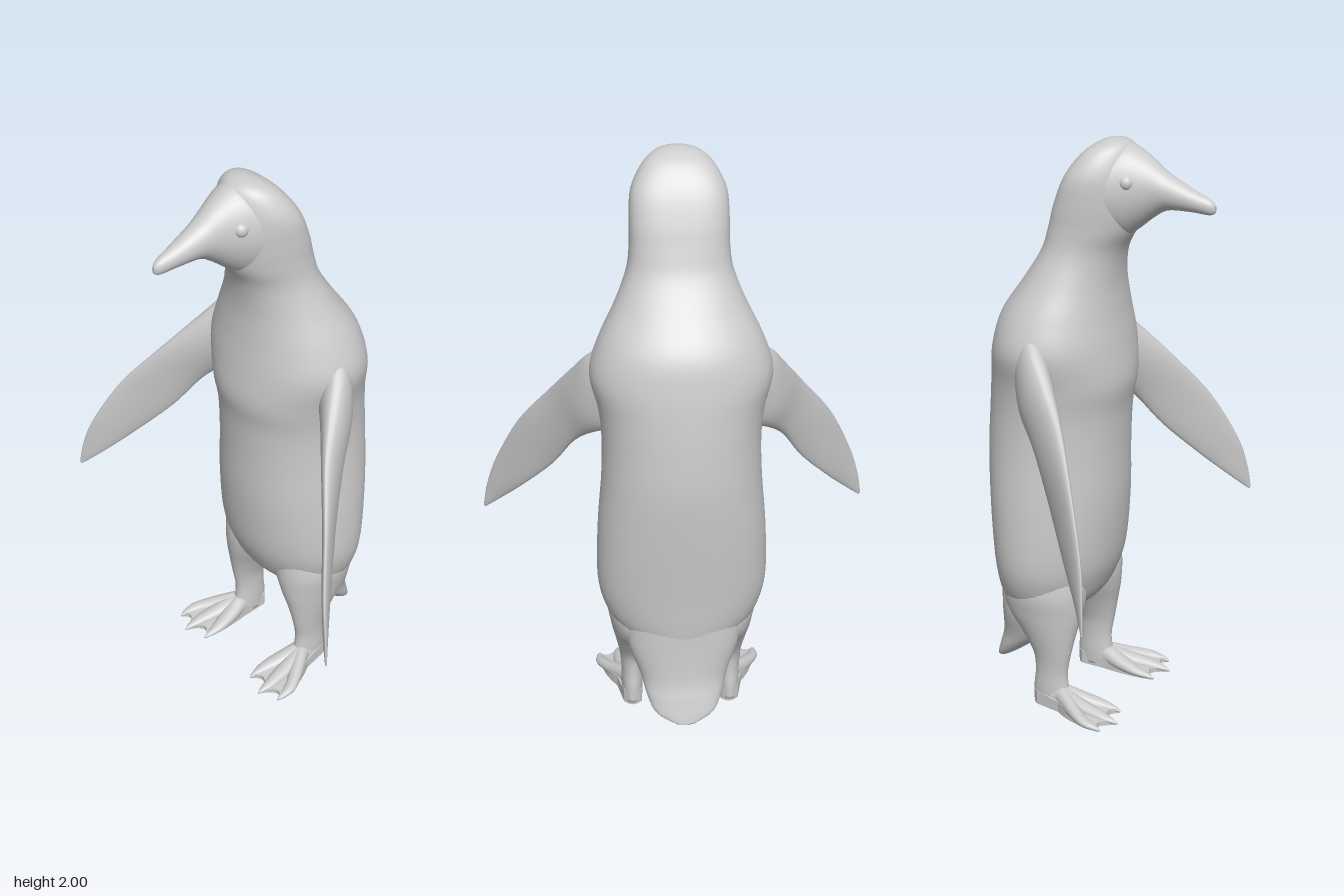
import * as THREE from 'three';

const V = (x, y, z) => new THREE.Vector3(x, y, z);
const material = new THREE.MeshStandardMaterial({ color: 0xcccccc });

// Smoothly interpolates rows of numbers along their order.
function smoothRows(rows, steps) {
  const out = [];
  const n = rows.length - 1;
  for (let i = 0; i < n; i++) {
    for (let s = 0; s < steps; s++) {
      const t = s / steps;
      out.push(rows[i].map((b, k) => {
        const c = rows[i + 1][k];
        const a = i > 0 ? rows[i - 1][k] : b;
        const d = i < n - 1 ? rows[i + 2][k] : c;
        return b + 0.5 * t * (c - a + t * (2 * a - 5 * b + 4 * c - d + t * (3 * (b - c) + d - a)));
      }));
    }
  }
  out.push(rows[n]);
  return out;
}

// Skins rounded sections; each section has a centre c and half-axes u and v.
// A section's bias moves its widest point back along v.
function loft(name, sections, { segments = 40, power = 2 } = {}) {
  const pos = [];
  let index = [];
  const bend = (a) => Math.sign(a) * Math.pow(Math.abs(a), 2 / power);
  for (const { c, u, v, bias = 0 } of sections) {
    for (let j = 0; j < segments; j++) {
      const a = (j / segments) * Math.PI * 2;
      const across = bend(Math.cos(a));
      const p = c.clone().addScaledVector(u, across)
        .addScaledVector(v, bend(Math.sin(a)) - bias * across * across);
      pos.push(p.x, p.y, p.z);
    }
  }
  const last = (sections.length - 1) * segments;
  const first = pos.length / 3;
  for (const s of [sections[0], sections[sections.length - 1]]) pos.push(s.c.x, s.c.y, s.c.z);
  for (let j = 0; j < segments; j++) {
    const k = (j + 1) % segments;
    for (let r = 0; r < last; r += segments) {
      index.push(r + j, r + k, r + segments + j, r + k, r + segments + k, r + segments + j);
    }
    index.push(first, k, j, first + 1, last + j, last + k);
  }
  // Turn the faces outward, whichever way the sections run.
  let volume = 0;
  const at = (i) => V(pos[3 * i], pos[3 * i + 1], pos[3 * i + 2]).sub(sections[0].c);
  for (let i = 0; i < index.length; i += 3) {
    volume += at(index[i]).dot(at(index[i + 1]).cross(at(index[i + 2])));
  }
  if (volume < 0) index = index.reverse();
  const geometry = new THREE.BufferGeometry();
  geometry.setAttribute('position', new THREE.Float32BufferAttribute(pos, 3));
  geometry.setIndex(index);
  geometry.computeVertexNormals();
  const mesh = new THREE.Mesh(geometry, material);
  mesh.name = name;
  return mesh;
}

// Rows of [y, front z, back z, half width, centre x, bias].
const upright = (rows, side = 1) => smoothRows(rows, 5).map(([y, f, b, w, x, bias]) => ({
  c: V(side * x, y, (f + b) / 2), u: V(w, 0, 0), v: V(0, 0, (f - b) / 2), bias,
}));

// Rows of [z, top y, bottom y, half width].
const forward = (rows) => smoothRows(rows, 6).map(([z, t, b, w]) => ({
  c: V(0, (t + b) / 2, z), u: V(w, 0, 0), v: V(0, (t - b) / 2, 0),
}));

function flipper(side) {
  // Rows of leading edge xyz, trailing edge xyz, half thickness.
  const rows = [
    [0.19, 1.43, -0.17, 0.14, 1.13, -0.19, 0.06],
    [0.285, 1.36, -0.1, 0.2, 1.1, -0.165, 0.062],
    [0.345, 1.275, -0.03, 0.27, 1.085, -0.135, 0.052],
    [0.43, 1.15, 0.065, 0.35, 1.015, -0.06, 0.032],
    [0.545, 0.985, 0.165, 0.43, 0.88, 0.03, 0.02],
    [0.632, 0.8, 0.242, 0.535, 0.745, 0.135, 0.014],
    [0.672, 0.68, 0.268, 0.62, 0.645, 0.22, 0.009],
    [0.69, 0.585, 0.278, 0.682, 0.58, 0.272, 0.003],
  ];
  const thin = V(0.75 * side, 0.1, -0.65).normalize();
  return loft('flipper', smoothRows(rows, 6).map(([ax, ay, az, bx, by, bz, h]) => {
    const a = V(ax * side, ay, az);
    const b = V(bx * side, by, bz);
    return {
      c: a.clone().add(b).multiplyScalar(0.5),
      u: a.clone().sub(b).multiplyScalar(0.5),
      v: thin.clone().multiplyScalar(h),
    };
  }), { segments: 28 });
}

function foot(side) {
  const group = new THREE.Group();
  group.name = 'foot';
  // Three pointed toes running out from the ankle
  for (const [x, z] of [[0.135, 0.14], [0.215, 0.168], [0.284, 0.135]]) {
    const rows = [
      [0.173, -0.15, 0.035, 0.028], [0.176, -0.08, 0.08, 0.036],
      [0.176 + (x - 0.176) * 0.5, 0.0, 0.056, 0.034],
      [0.176 + (x - 0.176) * 0.9, z - 0.07, 0.034, 0.024],
      [x, z - 0.02, 0.018, 0.011], [x, z, 0.008, 0.002],
    ];
    group.add(loft('toe', smoothRows(rows, 4).map(([cx, cz, top, w]) => ({
      c: V(side * cx, top / 2 + 0.003, cz), u: V(w, 0, 0), v: V(0, top / 2, 0),
    })), { segments: 16 }));
  }
  // Webbed sole, thicker towards the heel
  const sole = new THREE.Shape();
  sole.moveTo(0.14, -0.155);
  sole.quadraticCurveTo(0.172, -0.20, 0.205, -0.155);
  sole.lineTo(0.225, -0.06);
  sole.quadraticCurveTo(0.282, 0.02, 0.285, 0.13);
  sole.quadraticCurveTo(0.255, 0.08, 0.215, 0.16);
  sole.quadraticCurveTo(0.18, 0.07, 0.135, 0.135);
  sole.quadraticCurveTo(0.12, 0.05, 0.135, -0.05);
  const geometry = new THREE.ExtrudeGeometry(sole, { depth: 1, bevelEnabled: false, curveSegments: 8 });
  const p = geometry.attributes.position;
  for (let i = 0; i < p.count; i++) {
    const z = p.getY(i);
    p.setXYZ(i, p.getX(i) * side, p.getZ(i) * (0.032 - 0.12 * z), z);
  }
  // Swapping axes mirrors the shape, so the left foot needs its corners reversed.
  if (side > 0) {
    for (let i = 0; i < p.count; i += 3) {
      const a = V().fromBufferAttribute(p, i);
      const b = V().fromBufferAttribute(p, i + 1);
      p.setXYZ(i, b.x, b.y, b.z);
      p.setXYZ(i + 1, a.x, a.y, a.z);
    }
  }
  geometry.computeVertexNormals();
  const web = new THREE.Mesh(geometry, material);
  web.name = 'web';
  group.add(web);
  return group;
}

export function createModel() {
  const model = new THREE.Group();
  model.name = 'penguin';

  // Torso, neck and head
  model.add(loft('body', upright([
    [0.26, -0.2, -0.33, 0.07, 0, 0], [0.295, -0.13, -0.338, 0.13, 0, 0],
    [0.34, -0.06, -0.345, 0.18, 0, 0], [0.38, -0.015, -0.348, 0.222, 0, 0],
    [0.44, 0.02, -0.353, 0.262, 0, 0.05], [0.55, 0.055, -0.36, 0.288, 0, 0.1],
    [0.75, 0.075, -0.378, 0.284, 0, 0.1], [0.94, 0.078, -0.39, 0.268, 0, 0.06],
    [1.08, 0.085, -0.384, 0.264, 0, 0.05], [1.19, 0.102, -0.373, 0.275, 0, 0.06],
    [1.31, 0.088, -0.355, 0.3, 0, 0.05], [1.42, 0.072, -0.325, 0.268, 0, 0.05],
    [1.53, 0.065, -0.25, 0.213, 0, 0.1], [1.63, 0.08, -0.185, 0.173, 0, 0.2],
    [1.71, 0.12, -0.155, 0.162, 0, 0.3], [1.79, 0.135, -0.13, 0.161, 0, 0.35],
    [1.88, 0.13, -0.093, 0.153, 0, 0.35], [1.95, 0.12, -0.045, 0.115, 0, 0.3],
    [1.985, 0.1, 0.0, 0.07, 0, 0.2], [1.998, 0.06, 0.035, 0.015, 0, 0],
  ]), { segments: 56, power: 2.08 }));

  // Face tapering into the beak
  model.add(loft('faceAndBeak', forward([
    [-0.02, 1.94, 1.72, 0.13], [0.05, 1.98, 1.68, 0.126],
    [0.1, 1.983, 1.685, 0.108], [0.14, 1.966, 1.712, 0.088], [0.19, 1.933, 1.752, 0.065],
    [0.24, 1.896, 1.779, 0.05], [0.32, 1.855, 1.781, 0.034], [0.38, 1.828, 1.777, 0.02],
    [0.4, 1.81, 1.785, 0.006],
  ])));

  // Broad tail sloping back
  model.add(loft('tail', upright([
    [0.55, -0.12, -0.345, 0.2, 0], [0.35, -0.15, -0.35, 0.195, 0], [0.22, -0.19, -0.36, 0.152, 0],
    [0.15, -0.255, -0.378, 0.13, 0], [0.1, -0.325, -0.392, 0.1, 0], [0.07, -0.38, -0.4, 0.035, 0],
  ]), { power: 2.2 }));

  for (const side of [1, -1]) {
    model.add(flipper(side));
    model.add(loft('leg', upright([
      [0.6, -0.02, -0.28, 0.09, 0.14], [0.45, 0.0, -0.3, 0.12, 0.138],
      [0.36, -0.005, -0.29, 0.098, 0.15], [0.28, -0.022, -0.23, 0.068, 0.165],
      [0.2, -0.038, -0.18, 0.045, 0.173], [0.13, -0.05, -0.172, 0.038, 0.173],
      [0.07, -0.045, -0.178, 0.038, 0.173], [0.01, -0.03, -0.18, 0.036, 0.173],
    ], side), { segments: 28 }));
    model.add(foot(side));

    const eye = new THREE.Mesh(new THREE.SphereGeometry(0.026, 20, 14), material);
    eye.name = 'eye';
    eye.position.set(side * 0.076, 1.87, 0.123);
    model.add(eye);
  }
  return model;
}
